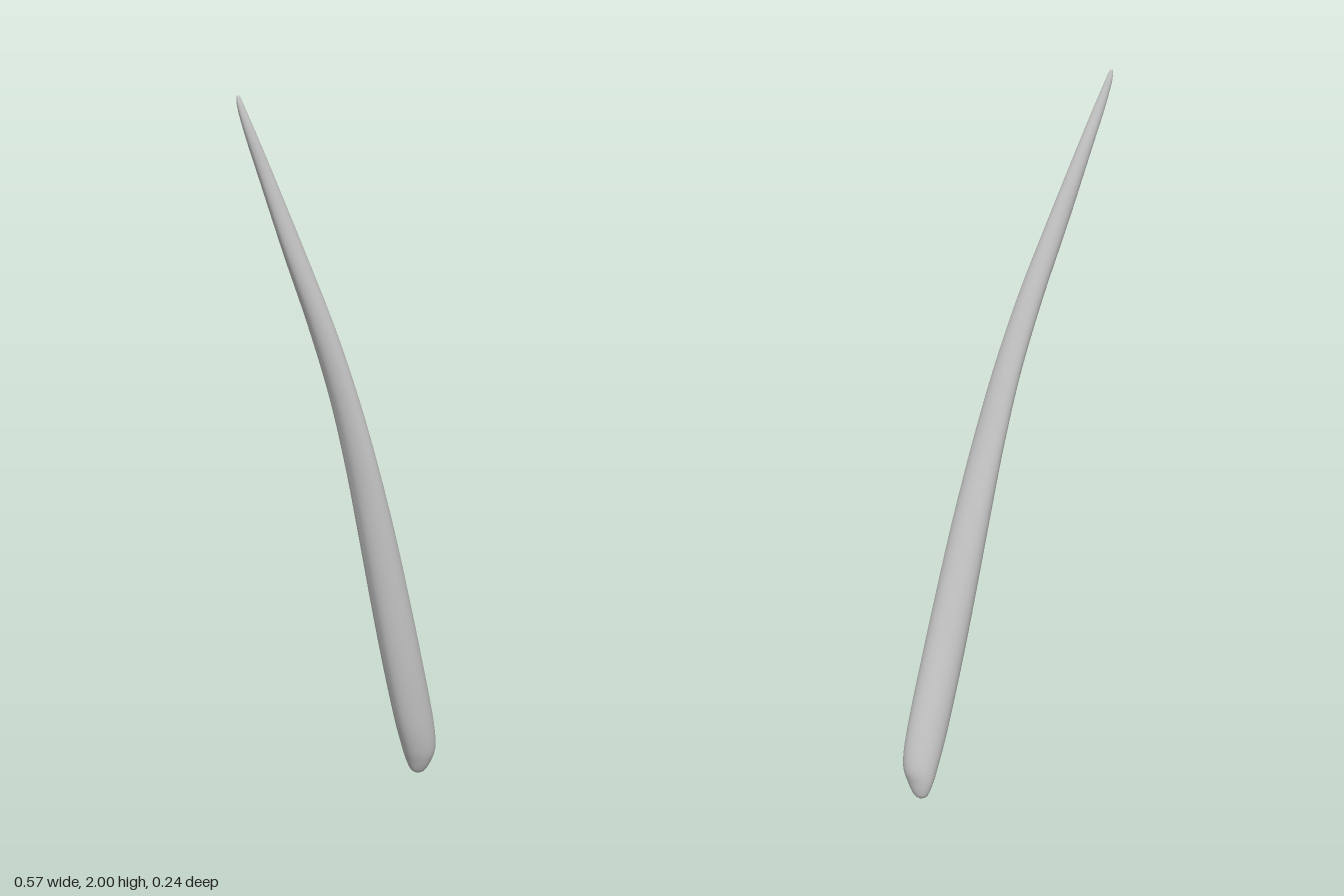
import * as THREE from 'three';

// Stations from base to tip: y, left x, right x, back z, front z
const STATIONS = [
  [0, 0.244, 0.252, 0.05, 0.058],
  [0.012, 0.23, 0.264, 0.035, 0.078],
  [0.05, 0.212, 0.275, 0.024, 0.1],
  [0.1, 0.191, 0.282, 0.02, 0.114],
  [0.2, 0.157, 0.264, 0.017, 0.119],
  [0.4, 0.105, 0.212, 0.012, 0.117],
  [0.6, 0.061, 0.16, 0.006, 0.11],
  [0.8, 0.02, 0.107, 0, 0.1],
  [1.0, -0.02, 0.05, -0.008, 0.085],
  [1.2, -0.067, -0.005, -0.02, 0.06],
  [1.4, -0.125, -0.066, -0.04, 0.028],
  [1.6, -0.187, -0.133, -0.067, -0.015],
  [1.8, -0.24, -0.203, -0.097, -0.06],
  [1.9, -0.268, -0.24, -0.11, -0.082],
  [1.97, -0.283, -0.265, -0.118, -0.101],
  [2.0, -0.284, -0.276, -0.117, -0.11],
];
const RINGS = 90;
const SIDES = 32;
const SKEW = 0.25; // leans each oval towards front left

function createSpine() {
  const curve = (f) => new THREE.CatmullRomCurve3(STATIONS.map(f), false, 'catmullrom', 0.5);
  const centre = curve(([y, x0, x1, z0, z1]) => new THREE.Vector3((x0 + x1) / 2, y, (z0 + z1) / 2));
  const radius = curve(([, x0, x1, z0, z1]) => new THREE.Vector3((x1 - x0) / 2, 0, (z1 - z0) / 2));
  const pos = [];
  const index = [];

  for (let i = 0; i <= RINGS; i++) {
    const c = centre.getPoint(i / RINGS);
    const r = radius.getPoint(i / RINGS);
    for (let j = 0; j < SIDES; j++) {
      const a = (j / SIDES) * Math.PI * 2;
      // shallow flattened channel along the inner side
      const dent = 1 - 0.1 * Math.exp(-(((a - 3.4) / 0.4) ** 2));
      pos.push(c.x + r.x * Math.cos(a) * dent, c.y, c.z + r.z * Math.sin(a + SKEW) * dent);
      if (i === RINGS) continue;
      const p = i * SIDES + j;
      const q = i * SIDES + ((j + 1) % SIDES);
      index.push(p, p + SIDES, q, q, p + SIDES, q + SIDES);
    }
  }

  // close both ends
  const end = pos.length / 3;
  for (const t of [0, 1]) pos.push(...centre.getPoint(t).toArray());
  const top = RINGS * SIDES;
  for (let j = 0; j < SIDES; j++) {
    const k = (j + 1) % SIDES;
    index.push(end, j, k, end + 1, top + k, top + j);
  }

  const geo = new THREE.BufferGeometry();
  geo.setAttribute('position', new THREE.Float32BufferAttribute(pos, 3));
  geo.setIndex(index);
  geo.computeVertexNormals();
  return geo;
}

export function createModel() {
  const group = new THREE.Group();
  group.name = 'curvedSpine';
  const shaft = new THREE.Mesh(createSpine(), new THREE.MeshStandardMaterial({ color: 0xcccccc }));
  shaft.name = 'taperedShaft';
  group.add(shaft);
  return group;
}
